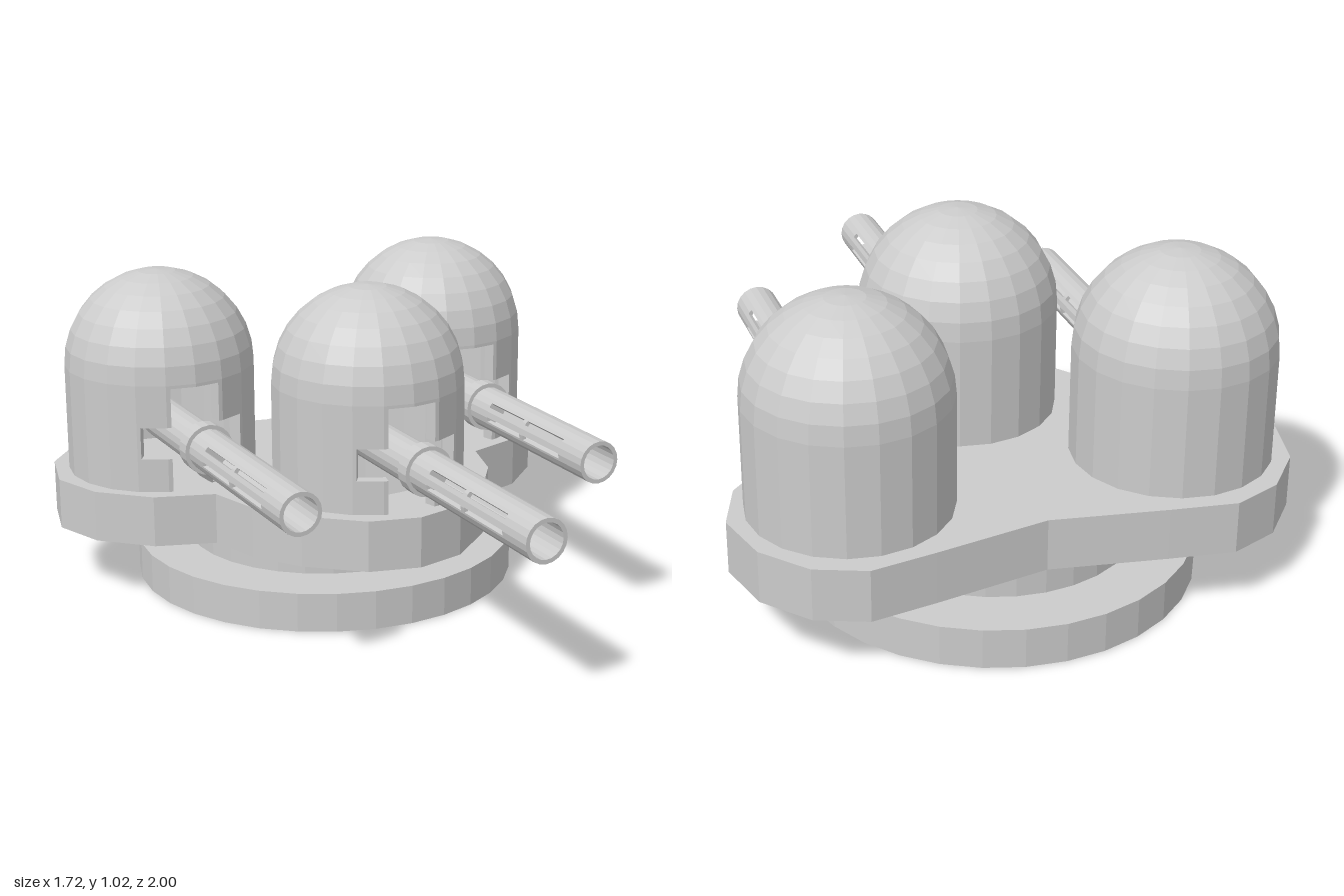
import * as THREE from 'three';
import { mergeGeometries } from 'three/addons/utils/BufferGeometryUtils.js';

const material = new THREE.MeshStandardMaterial({ color: 0xcccccc, flatShading: true, side: THREE.DoubleSide });

function mesh(name, geometry, parent) {
  const m = new THREE.Mesh(geometry, material);
  m.name = name;
  parent.add(m);
  return m;
}

// Shape drawn on the ground plane: shape y is -z, so turning it up gives world coordinates
const groundShape = (pts) => new THREE.Shape(pts.map(([x, z]) => new THREE.Vector2(x, -z)));

function circleHole(x, z, r) {
  return new THREE.Path().absarc(x, -z, r, 0, Math.PI * 2, true);
}

function raise(shape, height, y) {
  return new THREE.ExtrudeGeometry(shape, { depth: height, bevelEnabled: false, curveSegments: 20 })
    .rotateX(-Math.PI / 2).translate(0, y, 0);
}

// Upright polygonal tube with rectangular windows; cuts are [angle0, angle1, y0, y1], angle 0 is +z
function windowedTube(r, inner, sides, y0, y1, cuts) {
  const step = (2 * Math.PI) / sides;
  const angles = [];
  for (let i = 0; i <= sides; i++) angles.push(-Math.PI + i * step);
  for (const c of cuts) angles.push(c[0], c[1]);
  angles.sort((a, b) => a - b);
  const at = (a, radius) => {
    const off = ((a + Math.PI + 1e-9) % step) - step / 2;
    const d = (radius * Math.cos(step / 2)) / Math.cos(off);
    return [Math.sin(a) * d, Math.cos(a) * d];
  };
  const parts = [];
  for (let i = 0; i + 1 < angles.length; i++) {
    const [a, b] = [angles[i], angles[i + 1]];
    if (b - a < 1e-5) continue;
    const mid = (a + b) / 2;
    const shape = groundShape([at(a, r), at(b, r), at(b, inner), at(a, inner)]);
    let low = y0;
    const gaps = cuts.filter((c) => mid > c[0] && mid < c[1]).sort((p, q) => p[2] - q[2]);
    for (const g of [...gaps, [0, 0, y1, y1]]) {
      if (g[2] - low > 1e-5) parts.push(raise(shape, g[2] - low, low));
      low = g[3];
    }
  }
  return mergeGeometries(parts);
}

const R = 0.305, FLOOR = 0.37, SHOULDER = 0.715, GUN_Y = 0.527;

function createTurret() {
  const turret = new THREE.Group();
  turret.name = 'turret';

  // Domed housing with a cross-shaped opening in front
  const narrow = Math.asin(0.08 / 0.302), wide = Math.asin(0.168 / 0.302);
  mesh('housing', windowedTube(R, R * 0.87, 20, FLOOR, SHOULDER, [
    [-narrow, narrow, FLOOR, 0.705],
    [-wide, -narrow, 0.478, 0.58],
    [narrow, wide, 0.478, 0.58],
  ]), turret);
  const dome = new THREE.SphereGeometry(R, 20, 8, 0, Math.PI * 2, 0, Math.PI / 2);
  mesh('dome', dome, turret).position.y = SHOULDER;

  // Slotted hollow barrel
  const gun = new THREE.Group();
  gun.name = 'gun';
  gun.position.y = GUN_Y;
  gun.rotation.x = Math.PI / 2;
  turret.add(gun);
  const slots = [];
  for (const side of [-1, 1]) for (const elevation of [0.65, -0.09]) {
    const a = side * (Math.PI / 2 + elevation);
    for (const [s, e] of [[0.505, 0.705], [0.725, 0.935]]) slots.push([a - 0.12, a + 0.12, s, e]);
  }
  mesh('barrel', windowedTube(0.067, 0.054, 20, 0, 1.06, slots), gun);
  mesh('boreEnd', new THREE.CylinderGeometry(0.056, 0.056, 0.42, 20), gun).position.y = 0.21;
  mesh('collar', windowedTube(0.08, 0.06, 20, 0.35, 0.4, []), gun);
  return turret;
}

export function createModel() {
  const model = new THREE.Group();
  model.name = 'tripleTurret';
  const BASE_Z = -0.38;
  const spots = [[0, -0.06], [0.5, -0.56], [-0.5, -0.56]];

  // Open round base and its hollow neck
  const lathe = (...pts) => new THREE.LatheGeometry(pts.map((p) => new THREE.Vector2(...p)), 32);
  mesh('base', lathe([0.62, 0], [0.62, 0.125], [0.45, 0.125]), model).position.z = BASE_Z;
  mesh('neck', lathe([0.45, 0.125], [0.45, 0.205]), model).position.z = BASE_Z;

  // Three-lobed platform, half outline mirrored, hollow over the neck
  const half = [
    [0.35, -0.895], [0.55, -0.925], [0.70, -0.865], [0.815, -0.73], [0.86, -0.55], [0.80, -0.385],
    [0.655, -0.25], [0.47, -0.19], [0.42, -0.02], [0.32, 0.12], [0.16, 0.255],
  ];
  const outline = [[0, -0.835], ...half, [0, 0.295], ...half.map(([x, z]) => [-x, z]).reverse()];
  const body = groundShape(outline);
  body.holes.push(circleHole(0, BASE_Z, 0.445));
  mesh('platform', raise(body, FLOOR - 0.207, 0.205), model);

  // Platform top, open under each housing
  const top = groundShape(outline);
  for (const [x, z] of spots) top.holes.push(circleHole(x, z, 0.275));
  const topGeometry = new THREE.ShapeGeometry(top, 20).rotateX(-Math.PI / 2).translate(0, FLOOR, 0);
  mesh('platformTop', topGeometry, model);

  for (const [x, z] of spots) {
    const turret = createTurret();
    turret.position.set(x, 0, z);
    model.add(turret);
  }
  return model;
}
